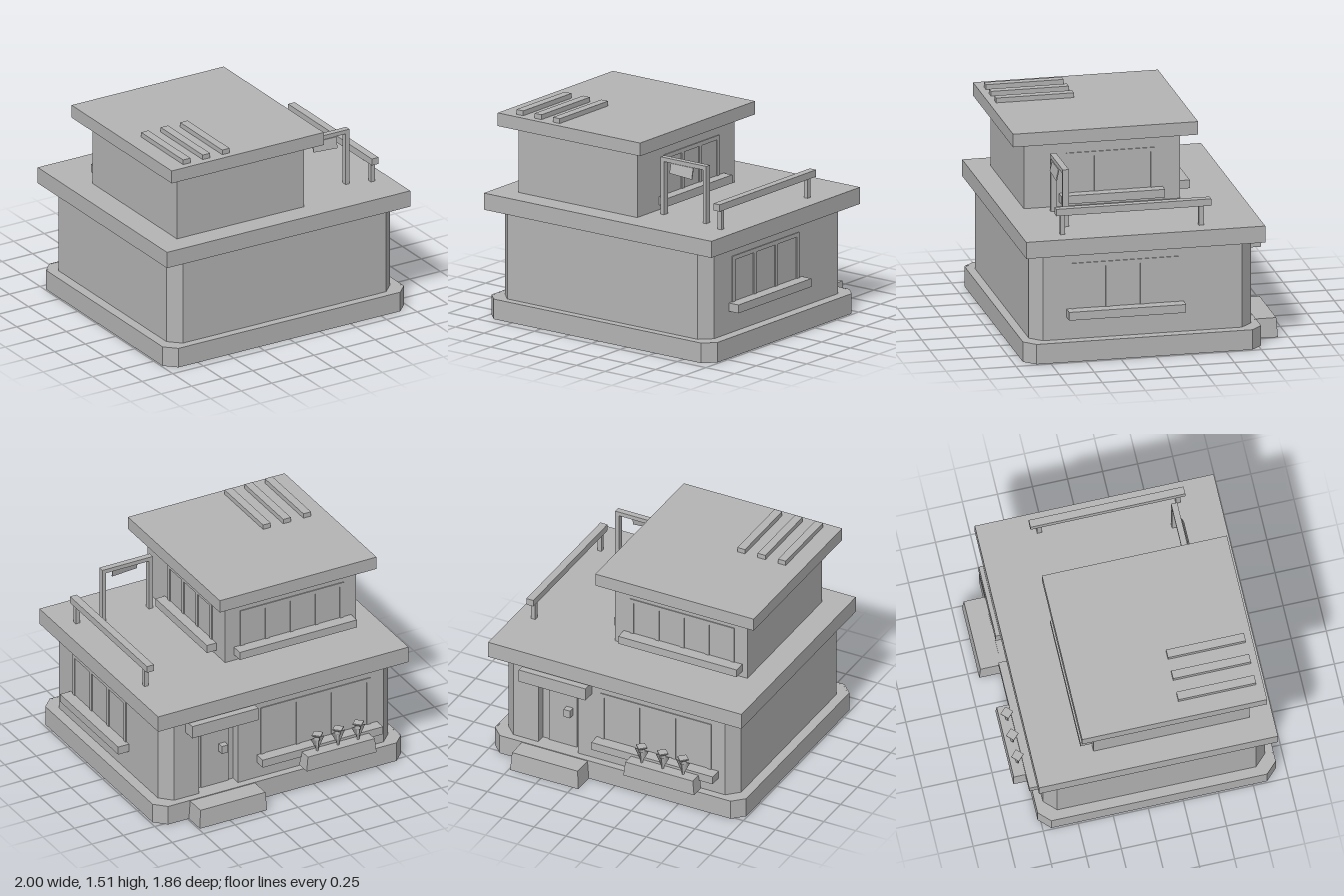
import * as THREE from 'three';

export function createModel() {
  const house = new THREE.Group();
  house.name = 'house';
  const plaster = new THREE.MeshStandardMaterial({ color: 0xb4b4b4 });
  plaster.name = 'grey plaster';

  const add = (name, geometry) => {
    const mesh = new THREE.Mesh(geometry, plaster);
    mesh.name = name;
    house.add(mesh);
    return mesh;
  };
  // Box given by its limits on each axis
  const box = (name, x0, x1, y0, y1, z0, z1) => {
    const g = new THREE.BoxGeometry(x1 - x0, y1 - y0, z1 - z0);
    return add(name, g.translate((x0 + x1) / 2, (y0 + y1) / 2, (z0 + z1) / 2));
  };
  // Upright prism over a footprint of [x, z] points, with an optional hole
  const prism = (name, points, y0, y1, hole) => {
    const flat = (list) => list.map(([x, z]) => new THREE.Vector2(x, -z));
    const shape = new THREE.Shape(flat(points));
    if (hole) shape.holes.push(new THREE.Path(flat(hole)));
    const g = new THREE.ExtrudeGeometry(shape, { depth: y1 - y0, bevelEnabled: false });
    return add(name, g.rotateX(-Math.PI / 2).translate(0, y0, 0));
  };
  // Rectangle with cut corners; extra points go into the back edge
  const cutRect = (x0, x1, z0, z1, c, notch = []) => [
    [x0 + c, z1], [x1 - c, z1], [x1, z1 - c], [x1, z0 + c], [x1 - c, z0],
    ...notch, [x0 + c, z0], [x0, z0 + c], [x0, z1 - c],
  ];
  // Box whose top is inset at both ends and at the back
  const taperedBox = (name, x0, x1, y0, y1, z0, z1, side, back) => {
    const mesh = box(name, x0, x1, y0, y1, z0, z1);
    const p = mesh.geometry.attributes.position;
    const mid = (x0 + x1) / 2;
    for (let i = 0; i < p.count; i++) {
      if (p.getY(i) < (y0 + y1) / 2) continue;
      p.setX(i, p.getX(i) - Math.sign(p.getX(i) - mid) * side);
      if (p.getZ(i) < (z0 + z1) / 2) p.setZ(i, p.getZ(i) + back);
    }
    mesh.geometry.computeVertexNormals();
    return mesh;
  };

  // Plinth, open underneath
  prism('plinthRim', cutRect(-0.99, 0.985, -0.77, 0.93, 0.08), 0, 0.145,
    cutRect(-0.98, 0.975, -0.76, 0.92, 0.077));
  prism('plinthFloor', cutRect(-0.985, 0.98, -0.765, 0.925, 0.08), 0.135, 0.1445);

  // Ground floor with a door niche in the back
  prism('groundFloorWalls', cutRect(-0.92, 0.91, -0.715, 0.87, 0.083,
    [[0.7, -0.715], [0.7, -0.645], [0.25, -0.645], [0.25, -0.715]]), 0.145, 0.78);
  box('terraceSlab', -1, 0.99, 0.775, 0.895, -0.78, 0.925);

  // Upper floor and roof
  box('upperWalls', -0.82, 0.22, 0.895, 1.38, -0.35, 0.765);
  box('upperRoof', -0.925, 0.32, 1.38, 1.475, -0.455, 0.865);
  for (const x of [-0.77, -0.61, -0.45]) {
    box('roofBeam', x - 0.03, x + 0.03, 1.475, 1.51, 0.26, 0.815);
  }

  // Windows: thin frame bars; side windows run along z, back windows along x
  const windowBars = (name, onSide, wall, a0, a1, y0, y1, panes) => {
    const t = 0.007, w = 0.03;
    const bar = (a, b, c, d) => onSide
      ? box(name, wall, wall + t, c, d, a, b)
      : box(name, a, b, c, d, wall - t, wall);
    for (let i = 0; i <= panes; i++) {
      const c = a0 + w / 2 + (a1 - a0 - w) * i / panes;
      bar(c - w / 2, c + w / 2, y0, y1 - w);
    }
    bar(a0, a1, y1 - w, y1);
  };
  windowBars('sideWindowFrame', true, 0.91, -0.18, 0.585, 0.365, 0.695, 3);
  windowBars('upperSideWindowFrame', true, 0.22, -0.17, 0.465, 0.99, 1.28, 3);
  windowBars('backWindowFrame', false, -0.715, -0.73, 0.14, 0.325, 0.695, 3);
  windowBars('upperBackWindowFrame', false, -0.35, -0.72, 0.1, 1.0, 1.28, 4);

  // Window sills
  box('sideSill', 0.91, 0.995, 0.305, 0.365, -0.215, 0.62);
  box('upperSideSill', 0.22, 0.295, 0.93, 0.99, -0.225, 0.515);
  box('backSill', -0.785, 0.17, 0.265, 0.325, -0.8, -0.715);
  box('upperBackSill', -0.78, 0.15, 0.94, 1.0, -0.435, -0.35);

  // Entrance
  taperedBox('doorStep', 0.205, 0.74, 0, 0.14, -0.928, -0.7, 0.01, 0.01);
  box('doorCanopy', 0.21, 0.735, 0.665, 0.76, -0.81, -0.64);
  for (const x of [0.285, 0.665]) {
    box('doorPost', x - 0.035, x + 0.035, 0.145, 0.67, -0.716, -0.64);
  }
  box('door', 0.36, 0.58, 0.145, 0.64, -0.654, -0.645);
  box('doorHandle', 0.39, 0.44, 0.4, 0.46, -0.7, -0.65);

  // Planter with three plants
  taperedBox('planter', -0.685, -0.13, 0.195, 0.305, -0.89, -0.785, 0.012, 0.005);
  const profile = [[0.008, 0.29], [0.016, 0.39], [0.028, 0.395], [0.028, 0.42],
    [0.045, 0.432], [0.045, 0.44], [0, 0.44]].map(([r, y]) => new THREE.Vector2(r, y));
  for (const x of [-0.57, -0.41, -0.245]) {
    const bloom = new THREE.LatheGeometry(profile, 4).toNonIndexed();
    bloom.computeVertexNormals();
    add('plant', bloom.translate(x, 0, -0.835));
    const leaf = new THREE.ConeGeometry(0.055, 0.11, 4).rotateX(Math.PI).scale(1, 1, 0.15);
    add('leaves', leaf.translate(x, 0.355, -0.835));
  }

  // Terrace gate with a hanging board
  for (const x of [0.31, 0.68]) {
    box('gatePost', x - 0.015, x + 0.015, 0.895, 1.28, 0.553, 0.597);
  }
  box('gateBeam', 0.295, 0.695, 1.28, 1.31, 0.553, 0.597);
  const board = box('hangingBoard', 0.39, 0.585, 1.205, 1.28, 0.595, 0.603);
  const bp = board.geometry.attributes.position;
  for (let i = 0; i < bp.count; i++) {
    if (bp.getY(i) > 1.24) continue;
    bp.setZ(i, bp.getZ(i) + 0.017);
    bp.setY(i, bp.getX(i) > 0.5 ? 1.2 : 1.212);
  }
  board.geometry.computeVertexNormals();

  // Terrace railing
  box('railing', 0.825, 0.88, 1.035, 1.085, -0.42, 0.685);
  for (const z of [-0.352, 0.637]) {
    box('railingPost', 0.838, 0.87, 0.895, 1.035, z - 0.017, z + 0.017);
  }
  return house;
}
